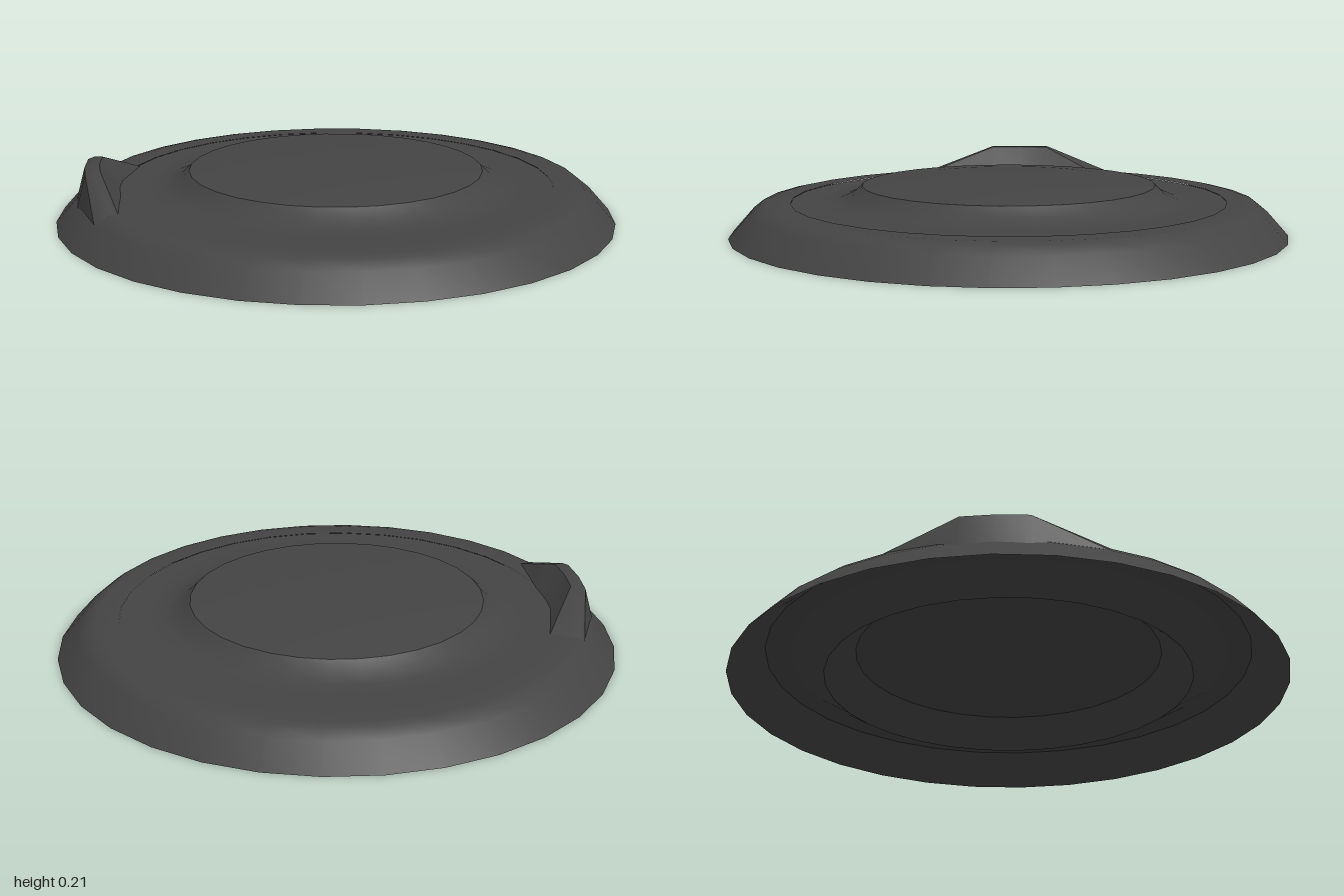
import * as THREE from 'three';
import { toCreasedNormals } from 'three/addons/utils/BufferGeometryUtils.js';

const material = new THREE.MeshStandardMaterial({ color: 0x444444 });

function addMesh(group, name, geometry, crease) {
  const mesh = new THREE.Mesh(toCreasedNormals(geometry, crease), material);
  mesh.name = name;
  group.add(mesh);
}

function lathe(points) {
  return new THREE.LatheGeometry(points.map(([r, y]) => new THREE.Vector2(r, y)), 32);
}

// Thumb tab: sections across the rim, flat on top and ramping down at both ends
function tabGeometry() {
  const section = [[0.925, 0.08, 0], [0.893, 0.11, 0.09], [0.87, 0.12, 0.09], [0.84, 0.12, 0.09], [0.77, 0.118, 0]];
  const stations = [[10, 0], [26.6, 1], [34, 1], [41.2, 1], [58, 0]];
  const positions = [], index = [], n = stations.length;
  for (const [r, y, rise] of section) {
    for (const [degrees, lift] of stations) {
      const a = THREE.MathUtils.degToRad(degrees);
      positions.push(-r * Math.cos(a), y + rise * lift, r * Math.sin(a));
    }
  }
  for (let i = 0; i < section.length - 1; i++) {
    for (let j = 0; j < n - 1; j++) {
      const a = i * n + j, b = a + n;
      index.push(a, a + 1, b, a + 1, b + 1, b);
    }
  }
  const geometry = new THREE.BufferGeometry();
  geometry.setAttribute('position', new THREE.Float32BufferAttribute(positions, 3));
  geometry.setIndex(index);
  return geometry;
}

export function createModel() {
  const group = new THREE.Group();
  group.name = 'roundLid';

  // Hollow underside with a lowered ring around the central recess
  addMesh(group, 'underside', lathe([
    [0, 0.135], [0.55, 0.12], [0.66, 0.025], [0.78, 0.1], [0.87, 0.1], [1, 0],
  ]), 0.4);

  // Sloped outer rim
  addMesh(group, 'rim', lathe([
    [1, 0], [0.925, 0.085], [0.89, 0.113], [0.86, 0.12], [0.78, 0.121],
  ]), 0.6);

  // Deck running up to the foot of the raised centre
  addMesh(group, 'deck', lathe([
    [0.78, 0.12], [0.67, 0.121], [0.61, 0.125], [0.56, 0.145], [0.525, 0.178],
  ]), 0.7);

  // Gently domed centre
  addMesh(group, 'centreDome', lathe([
    [0.525, 0.178], [0.4, 0.188], [0.2, 0.197], [0, 0.2],
  ]), 0.6);

  addMesh(group, 'thumbTab', tabGeometry(), 0.5);
  return group;
}
